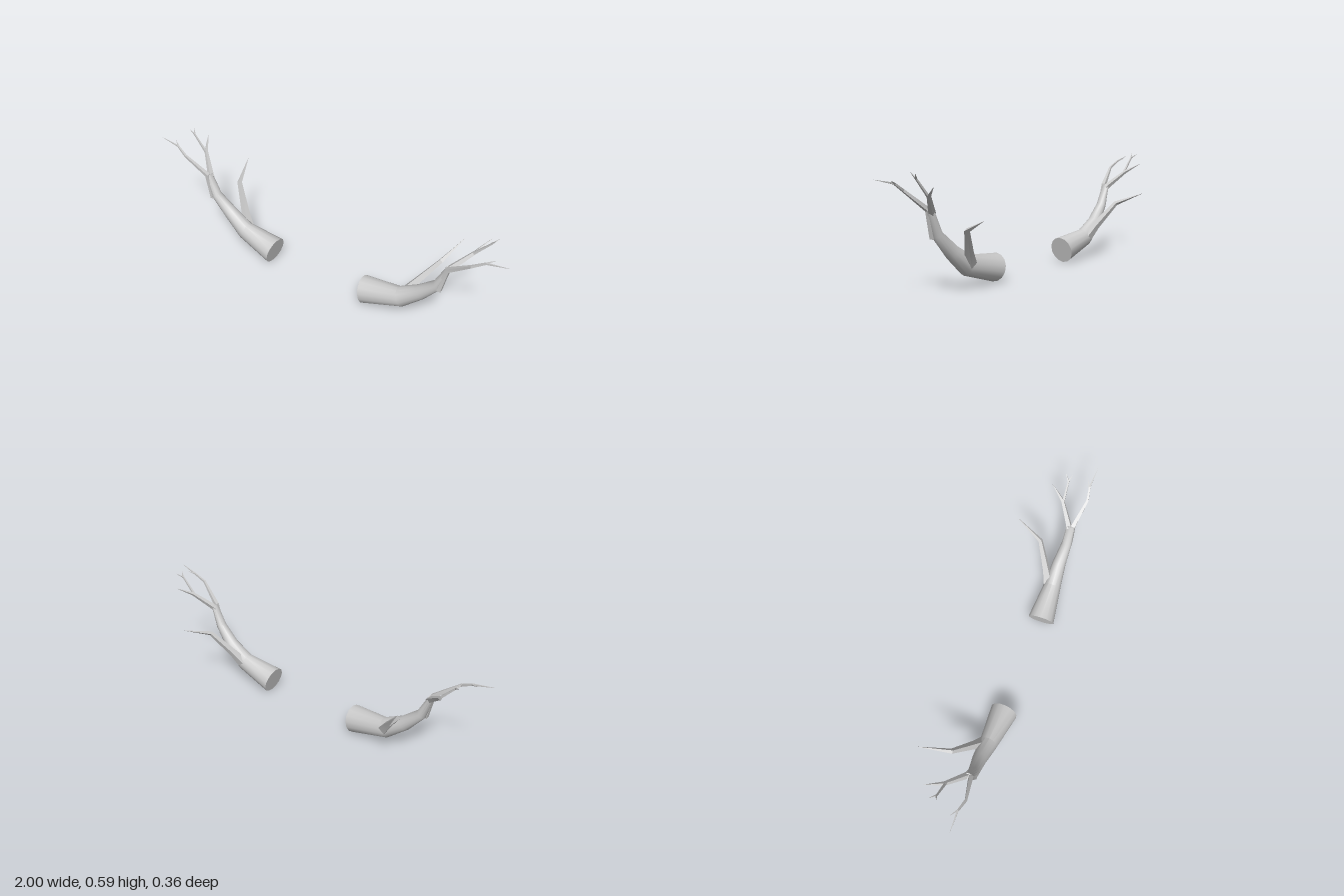
import * as THREE from 'three';
import { toCreasedNormals } from 'three/addons/utils/BufferGeometryUtils.js';

const material = new THREE.MeshStandardMaterial({ color: 0xcccccc });

// Loft a capped limb through stations [x, y, z, depthRadius, heightRadius].
function limb(name, side, stations, sides, crease) {
  const pts = stations.map(([x, y, z]) => new THREE.Vector3(x * side, y, z));
  const last = pts.length - 1;
  const pos = [];
  const index = [];
  const u = new THREE.Vector3(0, 0, 1);
  pts.forEach((p, i) => {
    const t = new THREE.Vector3();
    if (i > 0) t.add(p.clone().sub(pts[i - 1]).normalize());
    if (i < last) t.add(pts[i + 1].clone().sub(p).normalize());
    t.normalize();
    u.addScaledVector(t, -u.dot(t)).normalize();
    const v = t.clone().cross(u);
    const [, , , ru, rv = ru] = stations[i];
    for (let k = 0; k < sides; k++) {
      const a = ((k + 0.5) / sides) * Math.PI * 2;
      const q = p.clone().addScaledVector(u, Math.cos(a) * ru).addScaledVector(v, Math.sin(a) * rv);
      pos.push(q.x, q.y, q.z);
    }
  });
  for (let i = 0; i < last; i++) {
    for (let k = 0; k < sides; k++) {
      const a = i * sides + k;
      const b = i * sides + ((k + 1) % sides);
      index.push(a, b, b + sides, a, b + sides, a + sides);
    }
  }
  // End caps
  const end = last * sides;
  for (let k = 1; k < sides - 1; k++) {
    index.push(0, k + 1, k);
    index.push(end, end + k, end + k + 1);
  }
  const geo = new THREE.BufferGeometry();
  geo.setAttribute('position', new THREE.Float32BufferAttribute(pos, 3));
  geo.setIndex(index);
  const mesh = new THREE.Mesh(toCreasedNormals(geo, crease), material);
  mesh.name = name;
  return mesh;
}

function antler(side) {
  const g = new THREE.Group();
  g.name = side > 0 ? 'leftAntler' : 'rightAntler';
  const branch = (name, stations) => g.add(limb(name, side, stations, 4, 0.3));

  // Thick curved beam
  g.add(limb('beam', side, [
    [0.283, 0.075, 0.111, 0.073],
    [0.488, 0.121, 0.102, 0.047, 0.053],
    [0.59, 0.2, 0.098, 0.037, 0.038],
    [0.675, 0.292, 0.105, 0.028, 0.026],
    [0.717, 0.408, 0.102, 0.022, 0.013],
  ], 14, 0.6));

  // Front branch with its small twig
  branch('frontBranch', [
    [0.688, 0.275, 0.118, 0.017],
    [0.718, 0.41, 0.115, 0.015],
    [0.835, 0.506, 0.144, 0.008],
    [0.895, 0.542, 0.131, 0.006],
    [1.0, 0.566, 0.137, 0.0006],
  ]);
  branch('frontTwig', [
    [0.89, 0.54, 0.132, 0.005],
    [0.93, 0.557, 0.107, 0.0006],
  ]);

  // Rear branch, forking into a spike and a split-ended shoot
  branch('rearBranch', [
    [0.708, 0.392, 0.098, 0.017],
    [0.725, 0.41, 0.085, 0.016],
    [0.8, 0.485, 0.02, 0.01],
    [0.845, 0.535, -0.058, 0.0006],
  ]);
  branch('rearShoot', [
    [0.796, 0.481, 0.025, 0.008],
    [0.873, 0.57, 0.02, 0.005],
    [0.892, 0.597, 0.031, 0.0006],
  ]);
  branch('rearTwig', [
    [0.87, 0.567, 0.02, 0.005],
    [0.897, 0.59, -0.006, 0.0006],
  ]);

  // Long tine reaching backwards from the lower beam
  branch('backTine', [
    [0.49, 0.13, 0.075, 0.03],
    [0.53, 0.19, 0.045, 0.022],
    [0.622, 0.317, -0.031, 0.013],
    [0.672, 0.381, -0.18, 0.0006],
  ]);
  return g;
}

export function createModel() {
  const model = new THREE.Group();
  model.name = 'antlers';
  model.add(antler(1), antler(-1));
  return model;
}
